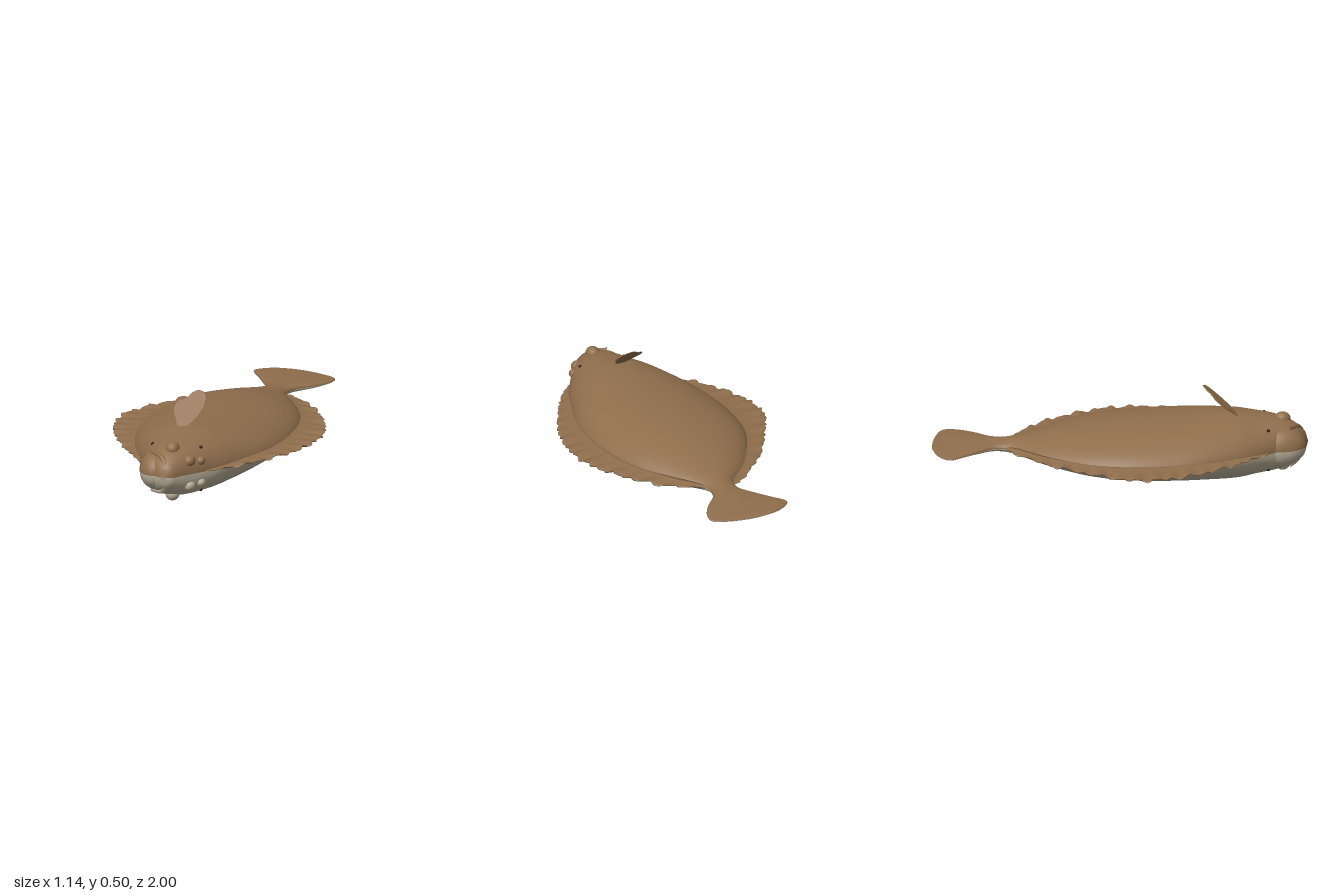
import * as THREE from 'three';

const brown = new THREE.MeshStandardMaterial({ color: 0x8f6e4c });
brown.name = 'brownSkin';
const cream = new THREE.MeshStandardMaterial({ color: 0xb9ae98 });
cream.name = 'creamBelly';
const dark = new THREE.MeshStandardMaterial({ color: 0x1c1611 });
dark.name = 'darkPupil';

const MID = 0.18; // height where brown back meets cream belly

// stations nose to tail: z, body left/right edge in x, half height, fin left/right edge in x
const STATIONS = [
  [1.0, -0.04, -0.02, 0, -0.04, -0.02],
  [0.985, -0.07, 0.02, 0.05, -0.07, 0.02],
  [0.95, -0.115, 0.05, 0.09, -0.115, 0.05],
  [0.9, -0.155, 0.09, 0.122, -0.155, 0.09],
  [0.82, -0.19, 0.155, 0.146, -0.19, 0.165],
  [0.72, -0.245, 0.225, 0.16, -0.265, 0.27],
  [0.6, -0.305, 0.285, 0.175, -0.36, 0.36],
  [0.4, -0.375, 0.37, 0.166, -0.48, 0.485],
  [0.2, -0.4, 0.405, 0.157, -0.55, 0.55],
  [0, -0.39, 0.405, 0.145, -0.55, 0.555],
  [-0.2, -0.33, 0.365, 0.12, -0.435, 0.485],
  [-0.4, -0.2, 0.265, 0.077, -0.285, 0.365],
  [-0.5, -0.1, 0.2, 0.053, -0.17, 0.26],
  [-0.56, -0.03, 0.165, 0.042, -0.1, 0.175],
  [-0.61, 0.005, 0.155, 0.034, -0.03, 0.155],
  [-0.68, 0.01, 0.18, 0.028, 0.01, 0.18],
  [-0.76, -0.035, 0.26, 0.023, -0.035, 0.26],
  [-0.84, -0.085, 0.315, 0.018, -0.085, 0.315],
  [-0.91, -0.13, 0.325, 0.014, -0.13, 0.325],
  [-0.95, -0.115, 0.27, 0.011, -0.115, 0.27],
  [-0.985, -0.05, 0.16, 0.009, -0.05, 0.16],
  [-1.0, 0.03, 0.07, 0, 0.03, 0.07],
];
const LAST = STATIONS.length - 1;
const spline = (a, b, c) => new THREE.CatmullRomCurve3(
  STATIONS.map((s) => new THREE.Vector3(s[a], s[b], s[c])), false, 'catmullrom', 0.5);
const bodyCurve = spline(1, 2, 3);
const finCurve = spline(4, 5, 0);

function station(i) {
  const b = bodyCurve.getPoint(i / LAST);
  const f = finCurve.getPoint(i / LAST);
  // roundness: blunt head, peaked back, thin plate tail
  const head = THREE.MathUtils.smoothstep(f.z, 0.6, 0.9);
  const tail = THREE.MathUtils.smoothstep(-f.z, 0.55, 0.75);
  return { z: f.z, xl: b.x, xr: b.y, h: Math.max(b.z, 0), finL: f.x, finR: f.y,
    p: 1.2 - 0.35 * head - 0.5 * tail };
}

// sort triangles into brown (above MID) and cream (below)
function twoTone(geo) {
  const pos = geo.attributes.position, idx = geo.index.array, up = [], down = [];
  for (let i = 0; i < idx.length; i += 3) {
    const tri = [idx[i], idx[i + 1], idx[i + 2]];
    const y = tri.reduce((sum, v) => sum + pos.getY(v), 0) / 3;
    (y > MID ? up : down).push(...tri);
  }
  geo.setIndex(up.concat(down));
  geo.clearGroups();
  geo.addGroup(0, up.length, 0);
  geo.addGroup(up.length, down.length, 1);
  return geo;
}

// skin a list of closed rings, counter-clockwise seen from the front, front to back
function loft(rings) {
  const n = rings[0].length, index = [];
  for (let i = 0; i < rings.length - 1; i++) {
    for (let k = 0; k < n; k++) {
      const a = i * n + k, b = i * n + (k + 1) % n, c = a + n, d = b + n;
      index.push(a, c, b, b, c, d);
    }
  }
  const geo = new THREE.BufferGeometry();
  geo.setAttribute('position', new THREE.Float32BufferAttribute(rings.flat(2), 3));
  geo.setIndex(index);
  geo.computeVertexNormals();
  return twoTone(geo);
}

function bodyGeometry() {
  const rings = [], steps = LAST * 6, around = 56;
  for (let i = 0; i <= steps; i++) {
    const s = station(i / 6), ring = [];
    for (let k = 0; k < around; k++) {
      const a = (k / around) * Math.PI * 2, sin = Math.sin(a);
      const lift = Math.abs(sin) < 1e-6 ? 0 : Math.sign(sin) * Math.abs(sin) ** s.p;
      ring.push([(s.xl + s.xr) / 2 + (s.xr - s.xl) / 2 * Math.cos(a), MID + s.h * lift, s.z]);
    }
    rings.push(ring);
  }
  return loft(rings);
}

// rippled fringe fin along one flank
function fringeGeometry(side) {
  const rings = [], steps = 240, across = 6, from = 4, to = 14;
  for (let i = 0; i <= steps; i++) {
    const t = i / steps, s = station(from + (to - from) * t);
    const cx = (s.xl + s.xr) / 2;
    const inner = cx + ((side > 0 ? s.xr : s.xl) - cx) * 0.94;
    const fade = Math.max(Math.sin(Math.PI * t), 0) ** 0.3;
    const arc = s.z * 62 + side;
    const scallop = (Math.abs(Math.sin(arc)) - 0.6) * 0.016 * fade;
    const outer = (side > 0 ? s.finR : s.finL) + side * scallop;
    const wave = (Math.sin(arc * 1.1) + 0.7 * Math.sin(arc * 0.63 + 2)) * 0.006 * fade;
    const point = (v, sign) => [
      THREE.MathUtils.lerp(inner, outer, v),
      MID + v * v * (0.006 * fade + wave) + sign * fade * THREE.MathUtils.lerp(0.02, 0.003, v ** 0.7),
      s.z,
    ];
    const ring = [];
    for (let k = 0; k <= across; k++) ring.push(point(k / across, -1));
    for (let k = across; k >= 0; k--) ring.push(point(k / across, 1));
    rings.push(side > 0 ? ring : ring.reverse());
  }
  return loft(rings);
}

// height of the back above MID at a spot on the body
function backHeight(x, z) {
  let i = 0;
  while (i < LAST && station(i).z > z) i += 0.02;
  const s = station(i);
  const u = (x - (s.xl + s.xr) / 2) / ((s.xr - s.xl) / 2);
  return s.h * Math.max(1 - u * u, 0) ** (s.p / 2);
}

export function createModel() {
  const group = new THREE.Group();
  const add = (name, geo, mat) => {
    const mesh = new THREE.Mesh(geo, mat);
    mesh.name = name;
    group.add(mesh);
  };
  const skin = [brown, cream];

  add('bodyAndTail', bodyGeometry(), skin);
  add('leftFringeFin', fringeGeometry(1), skin);
  add('rightFringeFin', fringeGeometry(-1), skin);

  // rounded jaw on the right of the snout
  const jaw = new THREE.SphereGeometry(1, 32, 24).scale(0.1, 0.112, 0.145).translate(-0.097, MID, 0.84);
  add('jaw', twoTone(jaw), skin);

  // lip wrapping around the snout
  const lipPath = new THREE.CatmullRomCurve3([
    [-0.12, 0.105, 0.885], [-0.045, 0.088, 0.945], [-0.012, 0, 0.98],
    [-0.045, -0.088, 0.945], [-0.12, -0.105, 0.885],
  ].map(([x, y, z]) => new THREE.Vector3(x, MID + y, z)));
  add('lip', twoTone(new THREE.TubeGeometry(lipPath, 60, 0.014, 10)), skin);

  // head bumps and pupils, mirrored above and below
  for (const sign of [1, -1]) {
    const where = sign > 0 ? 'upper' : 'lower';
    for (const [x, y, z, r] of [[-0.015, 0.125, 0.865, 0.038], [0.08, 0.068, 0.87, 0.032], [0.13, 0.06, 0.825, 0.024]]) {
      const bump = new THREE.SphereGeometry(r, 20, 14).scale(1, 1, 1.15).translate(x, MID + sign * y, z);
      add(where + 'HeadBump', bump, sign > 0 ? brown : cream);
    }
    for (const [x, z] of [[-0.155, 0.775], [0.115, 0.78]]) {
      const pupil = new THREE.SphereGeometry(0.009, 12, 8);
      pupil.translate(x, MID + sign * backHeight(x, z), z);
      add(where + 'Pupil', pupil, dark);
    }
  }

  // leaning paddle fin on the back
  const outline = [[-0.06, 0.34], [-0.085, 0.378], [-0.11, 0.415], [-0.1, 0.452], [-0.06, 0.466],
    [-0.035, 0.49], [0, 0.502], [0.04, 0.488], [0.05, 0.45], [0.03, 0.4], [-0.015, 0.352]]
    .map(([x, y]) => new THREE.Vector2(x, y));
  const shape = new THREE.Shape().moveTo(outline[0].x, outline[0].y);
  shape.splineThru(outline.slice(1));
  const paddle = new THREE.ExtrudeGeometry(shape, { depth: 0.006, bevelEnabled: false, curveSegments: 40 });
  const pos = paddle.attributes.position;
  for (let i = 0; i < pos.count; i++) {
    pos.setZ(i, pos.getZ(i) + 0.615 - (pos.getY(i) - 0.35) * 1.15);
  }
  paddle.computeVertexNormals();
  add('backFin', paddle, brown);

  return group;
}
